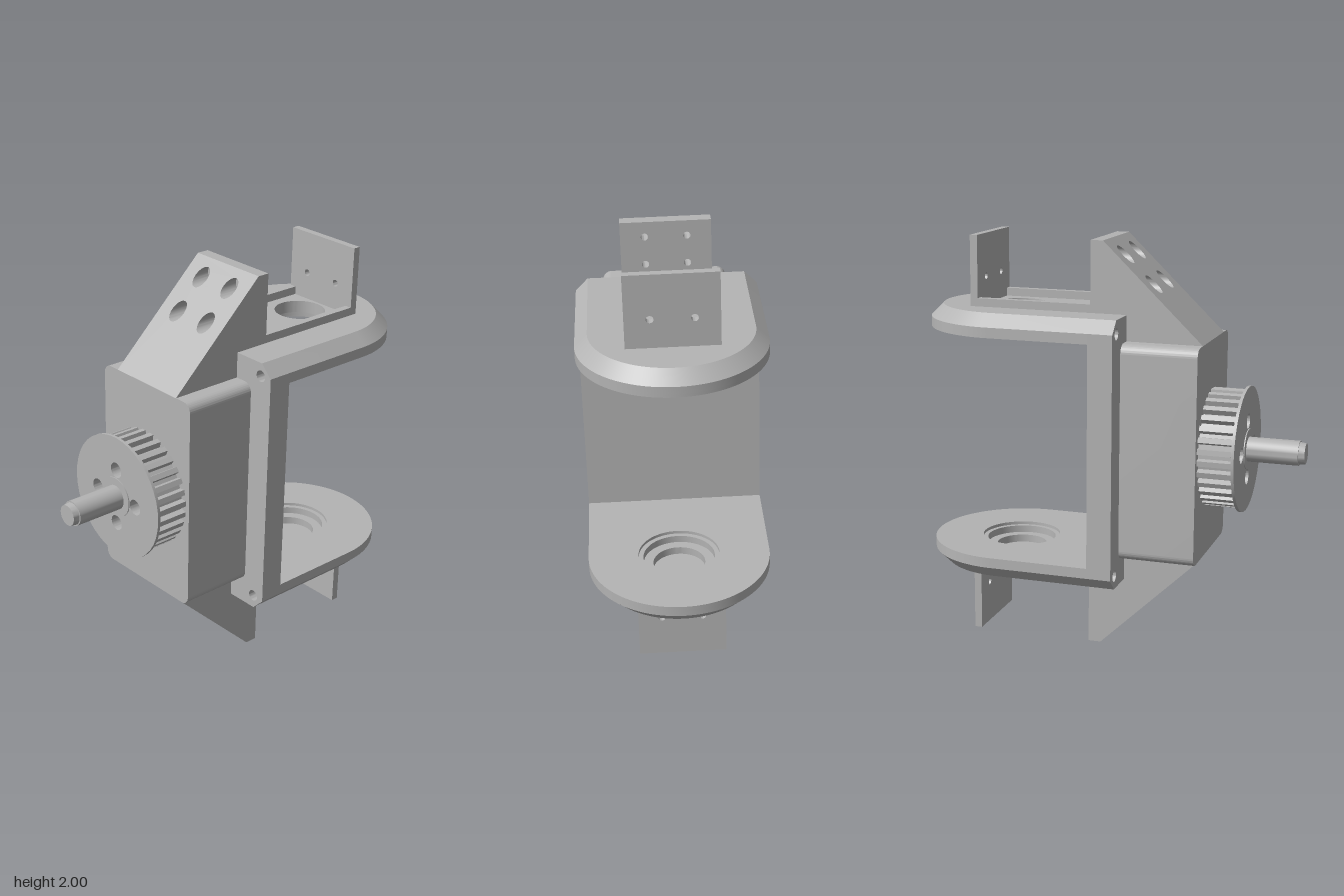
import * as THREE from 'three';
import { toCreasedNormals } from 'three/addons/utils/BufferGeometryUtils.js';

const TILT = 0.031;
const CX = 0.505, R = 0.435, CHAMFER = 0.06; // arm end centre, arm half width, edge bevel
const IN = 0.54, MID = 0.59, OUT = 0.65, TOP = 0.993; // heights from the centre

function polygon(points) {
  return new THREE.Shape(points.map(p => new THREE.Vector2(p[0], p[1])));
}

function rect(w, y0, y1) {
  return polygon([[-w, y0], [w, y0], [w, y1], [-w, y1]]);
}

function drill(shape, x, y, r) {
  const hole = new THREE.Path();
  hole.absarc(x, y, r, 0, Math.PI * 2, true);
  shape.holes.push(hole);
  return shape;
}

// Extrudes a (z, y) outline from x0 to x1
function alongX(shape, x0, x1) {
  const g = new THREE.ExtrudeGeometry(shape, { depth: x1 - x0, bevelEnabled: false, curveSegments: 20 });
  return g.rotateY(Math.PI / 2).translate(x0, 0, 0);
}

// Extrudes an (x, z) outline from y0 to y1
function alongY(shape, y0, y1) {
  const g = new THREE.ExtrudeGeometry(shape, { depth: y1 - y0, bevelEnabled: false, curveSegments: 40 });
  return g.rotateX(-Math.PI / 2).translate(0, y0, 0);
}

function moveVertices(g, rule) {
  const p = g.attributes.position, v = new THREE.Vector3();
  for (let i = 0; i < p.count; i++) {
    v.fromBufferAttribute(p, i);
    rule(v);
    p.setXYZ(i, v.x, v.y, v.z);
  }
  return g;
}

export function createModel() {
  const grey = new THREE.MeshStandardMaterial({ color: 0xb4b4b4 });
  grey.name = 'machined grey';

  const add = (parent, name, geometry) => {
    const mesh = new THREE.Mesh(toCreasedNormals(geometry, 0.5), grey);
    mesh.name = name;
    parent.add(mesh);
    return mesh;
  };
  const box = (x0, x1, y0, y1, z0, z1) =>
    new THREE.BoxGeometry(x1 - x0, y1 - y0, z1 - z0).translate((x0 + x1) / 2, (y0 + y1) / 2, (z0 + z1) / 2);
  const cylinderX = (r0, r1, x0, x1) => // r0 at x0, r1 at x1
    new THREE.CylinderGeometry(r0, r1, x1 - x0, 40).rotateZ(Math.PI / 2).translate((x0 + x1) / 2, 0, 0);

  const model = new THREE.Group();
  model.name = 'yokeAssembly';
  const tilted = new THREE.Group();
  tilted.name = 'tiltedYoke';
  tilted.position.y = 1;
  tilted.rotation.x = TILT;
  model.add(tilted);

  // Web joining the two arms, with bevelled corners and screw holes
  const a = R - CHAMFER;
  const web = polygon([[-R, -MID], [-a, -OUT], [a, -OUT], [R, -MID], [R, MID], [a, OUT], [-a, OUT], [-R, MID]]);
  for (const sz of [-1, 1]) for (const sy of [-1, 1]) drill(web, sz * 0.37, sy * 0.585, 0.028);
  add(tilted, 'web', alongX(web, -0.105, 0.015));

  // Gear housing with rounded long edges
  const w = 0.308, h = 0.525, c = 0.045;
  const housing = new THREE.Shape();
  housing.absarc(w - c, h - c, c, 0, Math.PI / 2);
  housing.absarc(-w + c, h - c, c, Math.PI / 2, Math.PI);
  housing.absarc(-w + c, -h + c, c, Math.PI, Math.PI * 1.5);
  housing.absarc(w - c, -h + c, c, Math.PI * 1.5, Math.PI * 2);
  add(tilted, 'housing', alongX(housing, -0.475, -0.105));

  // Arm outline with a round end and a bearing bore
  const armShape = bore => {
    const s = new THREE.Shape();
    s.moveTo(0.015, -R);
    s.lineTo(CX, -R);
    s.absarc(CX, 0, R, -Math.PI / 2, Math.PI / 2);
    s.lineTo(0.015, R);
    s.closePath();
    return drill(s, CX, 0, bore);
  };

  // The same arm and bracket above and, turned over, below
  for (const side of ['upper', 'lower']) {
    const half = new THREE.Group();
    half.name = side + 'Half';
    if (side === 'lower') half.rotation.x = Math.PI;
    tilted.add(half);

    // Arm in three layers: bearing recess, step, bevelled outside
    add(half, 'armInnerLayer', alongY(armShape(0.195), IN, IN + 0.015));
    add(half, 'armMiddleLayer', alongY(armShape(0.172), IN + 0.015, MID));
    const k = (R - CHAMFER) / R;
    add(half, 'armBevelledLayer', moveVertices(alongY(armShape(0.125), MID, OUT), v => {
      if (v.y < OUT - 0.001 || Math.hypot(v.x - CX, v.z) < 0.2) return;
      v.z *= k;
      if (v.x > CX) v.x = CX + (v.x - CX) * k;
    }));
    if (side === 'lower') {
      add(half, 'boreFloor', new THREE.CylinderGeometry(0.13, 0.13, 0.02, 40).translate(CX, OUT - 0.012, 0));
    }

    // Sloping gusset with wide screw bores, sheared from a straight block
    const gusset = rect(0.21, 0.525, TOP), plate = rect(0.21, OUT - 0.01, TOP);
    for (const y of [0.785, 0.92]) for (const z of [-0.0975, 0.0975]) {
      drill(gusset, z, y, 0.04);
      drill(plate, z, y, 0.017);
    }
    add(half, 'gusset', moveVertices(alongX(gusset, -0.475, 0.015), v => {
      if (v.x < 0) v.x = -0.475 + 0.489 * (v.y - 0.525) / (TOP - 0.525);
    }));
    add(half, 'gussetPlate', alongX(plate, 0.015, 0.075));

    // Outer mounting plate and the low rails between the plates
    const outer = rect(0.21, OUT - 0.01, TOP);
    for (const z of [-0.0975, 0.0975]) drill(outer, z, 0.785, 0.017);
    add(half, 'outerPlate', alongX(outer, 0.645, 0.682));
    for (const s of [-1, 1]) {
      add(half, 'rail', box(0.075, 0.645, OUT - 0.01, 0.69, s * 0.1925 - 0.0175, s * 0.1925 + 0.0175));
    }
  }

  // Toothed pulley
  const pulley = new THREE.Group();
  pulley.name = 'pulley';
  tilted.add(pulley);
  const teeth = 32, outline = [];
  for (let i = 0; i < teeth; i++) {
    for (const [t, r] of [[0, 0.258], [0.35, 0.258], [0.45, 0.287], [0.9, 0.287]]) {
      const ang = (i + t) / teeth * Math.PI * 2;
      outline.push([Math.cos(ang) * r, Math.sin(ang) * r]);
    }
  }
  add(pulley, 'toothedRim', alongX(polygon(outline), -0.6, -0.475));
  const face = polygon(outline), flange = new THREE.Shape();
  flange.absarc(0, 0, 0.305, 0, Math.PI * 2);
  for (let i = 0; i < 4; i++) {
    const ang = i * Math.PI / 2;
    for (const s of [face, flange]) drill(s, Math.cos(ang) * 0.138, Math.sin(ang) * 0.138, 0.038);
  }
  add(pulley, 'toothedFace', alongX(face, -0.642, -0.6));
  add(pulley, 'flange', alongX(flange, -0.656, -0.642));
  add(pulley, 'hub', cylinderX(0.098, 0.098, -0.661, -0.65));

  // Drive shaft with a stepped, bevelled tip
  add(pulley, 'shaft', cylinderX(0.06, 0.06, -0.91, -0.65));
  add(pulley, 'shaftTip', cylinderX(0.05, 0.054, -0.94, -0.91));

  return model;
}
